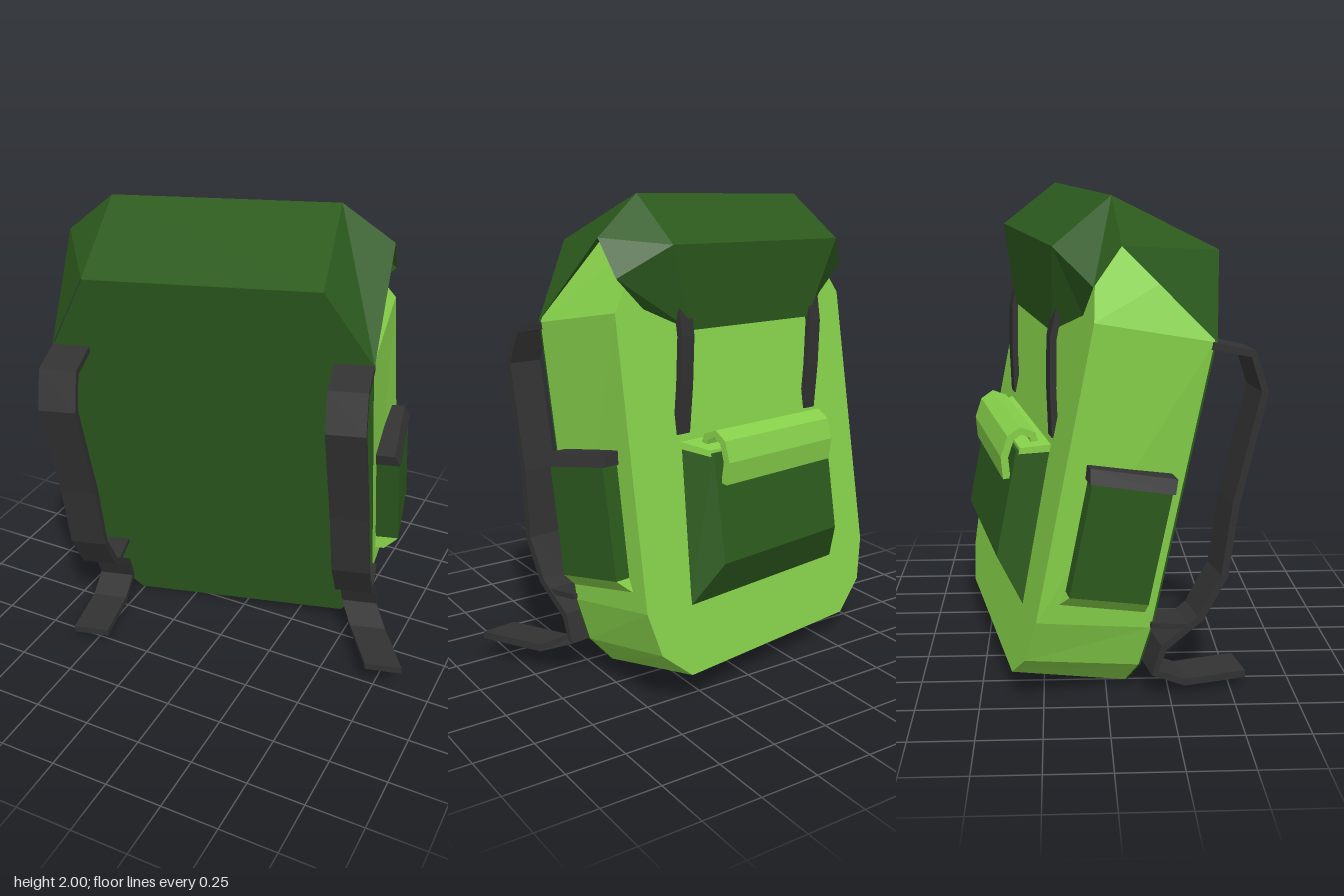
import * as THREE from 'three';

const material = (color, side = THREE.FrontSide) =>
  new THREE.MeshStandardMaterial({ color, flatShading: true, side });
const green = material(0x86d04a);
const darkGreen = material(0x2c5a1d);
const darkCloth = material(0x2c5a1d, THREE.DoubleSide);
const black = material(0x323232);

// Skins a series of equal-length loops; closed lofts are capped and turned outward.
function loft(loops, closed = true) {
  const n = loops[0].length, tris = [];
  for (let i = 0; i + 1 < loops.length; i++) {
    for (let j = 0; j < (closed ? n : n - 1); j++) {
      const k = (j + 1) % n;
      const [a, b, c, d] = [loops[i][j], loops[i][k], loops[i + 1][k], loops[i + 1][j]];
      tris.push([a, b, c], [a, c, d]);
    }
  }
  if (closed) {
    const first = loops[0], last = loops[loops.length - 1];
    for (let j = 1; j + 1 < n; j++) {
      tris.push([first[0], first[j + 1], first[j]], [last[0], last[j], last[j + 1]]);
    }
    const v = p => new THREE.Vector3(...p);
    const volume = tris.reduce((s, [a, b, c]) => s + v(a).dot(v(b).cross(v(c))), 0);
    if (volume < 0) tris.forEach(t => t.reverse());
  }
  const geometry = new THREE.BufferGeometry();
  geometry.setAttribute('position', new THREE.Float32BufferAttribute(tris.flat(2), 3));
  geometry.computeVertexNormals();
  return geometry;
}

// Symmetric outline from right-hand [x, y] points, placed at depth z.
const mirrored = (half, z) => [
  ...half.map(([x, y]) => [x, y, z]),
  ...half.slice().reverse().map(([x, y]) => [-x, y, z]),
];

// Flat strap following a path of [x, y, z], wide along x.
function strap(path, width, thickness) {
  return loft(path.map((p, i) => {
    const a = path[Math.max(i - 1, 0)], b = path[Math.min(i + 1, path.length - 1)];
    const dy = b[1] - a[1], dz = b[2] - a[2], length = Math.hypot(dy, dz);
    const ny = -dz / length * thickness / 2, nz = dy / length * thickness / 2;
    const [x, y, z] = p, w = width / 2;
    return [
      [x - w, y - ny, z - nz], [x + w, y - ny, z - nz],
      [x + w, y + ny, z + nz], [x - w, y + ny, z + nz],
    ];
  }));
}

export function createModel() {
  const model = new THREE.Group();
  model.name = 'backpack';
  const pack = new THREE.Group();
  pack.name = 'tiltedPack';
  pack.rotation.set(0.194, 0.22, 0);
  pack.position.set(-0.025, 0, 0.005);
  model.add(pack);

  const add = (name, geometry, mat) => {
    const mesh = new THREE.Mesh(geometry, mat);
    mesh.name = name;
    pack.add(mesh);
  };

  // Main bag, slightly wider away from the wearer
  const frontOutline = [[0.49, 0.02], [0.6, 0.14], [0.645, 0.32], [0.665, 1.475], [0.483, 1.8]];
  const backOutline = [[0.49, 0.02], [0.64, 0.14], [0.695, 0.32], [0.69, 1.475], [0.49, 1.76]];
  add('mainBag', loft([mirrored(frontOutline, -0.034), mirrored(backOutline, -0.512)]), green);
  add('backPanel', loft([mirrored(frontOutline, -0.026), mirrored(frontOutline, -0.034)]), darkGreen);

  // Lid cloth: front edge, ridge, rear edge and hanging hem
  const lidRow = (low, top) => [
    low, top, [-top[0], top[1], top[2]], [-low[0], low[1], low[2]],
  ];
  add('lid', loft([
    lidRow([0.67, 1.475, -0.024], [0.483, 1.805, -0.024]),
    lidRow([0.695, 1.762, -0.468], [0.483, 1.926, -0.482]),
    lidRow([0.69, 1.6, -0.54], [0.505, 1.705, -0.673]),
    lidRow([0.55, 1.48, -0.52], [0.37, 1.38, -0.585]),
  ], false), darkCloth);

  // Rear pocket and its folded flap
  add('rearPocket', loft([
    mirrored([[0.46, 0.28], [0.42, 0.93]], -0.5),
    mirrored([[0.36, 0.45], [0.36, 0.89]], -0.63),
  ]), darkGreen);
  add('rearPocketTrim', loft([
    mirrored([[0.42, 0.92], [0.42, 0.95]], -0.505),
    mirrored([[0.37, 0.88], [0.37, 0.905]], -0.62),
  ]), green);
  add('rearPocketFlap', strap([
    [0, 0.9, -0.54], [0, 0.955, -0.57], [0, 0.965, -0.62],
    [0, 0.93, -0.655], [0, 0.85, -0.665], [0, 0.765, -0.64],
  ], 0.66, 0.03), green);

  for (const [label, s] of [['left', 1], ['right', -1]]) {
    // Side pocket as stacked layers: bevelled base, pouch, rim
    const layer = (y, outer, inset) => [
      [s * 0.63, y, -0.09 - inset], [s * outer, y, -0.09 - inset],
      [s * outer, y, -0.435 + inset], [s * 0.63, y, -0.435 + inset],
    ];
    add(label + 'PocketBase', loft([layer(0.4, 0.69, 0), layer(0.455, 0.752, 0.015)]), green);
    add(label + 'PocketPouch', loft([layer(0.455, 0.752, 0.015), layer(0.9, 0.757, 0.015)]), darkGreen);
    add(label + 'PocketRim', loft([layer(0.9, 0.762, 0.005), layer(0.955, 0.74, 0)]), black);

    // Strap that holds the lid down
    add(label + 'LidStrap', strap([
      [s * 0.4, 1.52, -0.585], [s * 0.4, 1.36, -0.585],
      [s * 0.4, 1.17, -0.55], [s * 0.4, 0.98, -0.505],
    ], 0.07, 0.025), black);

    // Shoulder strap, its lower anchor and loose end
    const x = s * 0.59;
    const swing = s > 0 ? 0.16 : 0;
    add(label + 'ShoulderStrap', strap([
      [x, 1.46, -0.04], [x, 1.455, 0.13], [x, 1.32, 0.21], [x, 0.86, 0.195],
      [x, 0.57, 0.215], [x, 0.385, 0.155], [x, 0.25, 0.03], [x, 0.14, 0.015],
      [x + swing * 0.35, 0.11, 0.15], [x + swing, 0.165, 0.4],
    ], 0.16, 0.03), black);
    add(label + 'StrapAnchor', strap([
      [x, 0.345, 0.12], [x, 0.335, -0.04],
    ], 0.15, 0.022), black);
  }
  return model;
}
